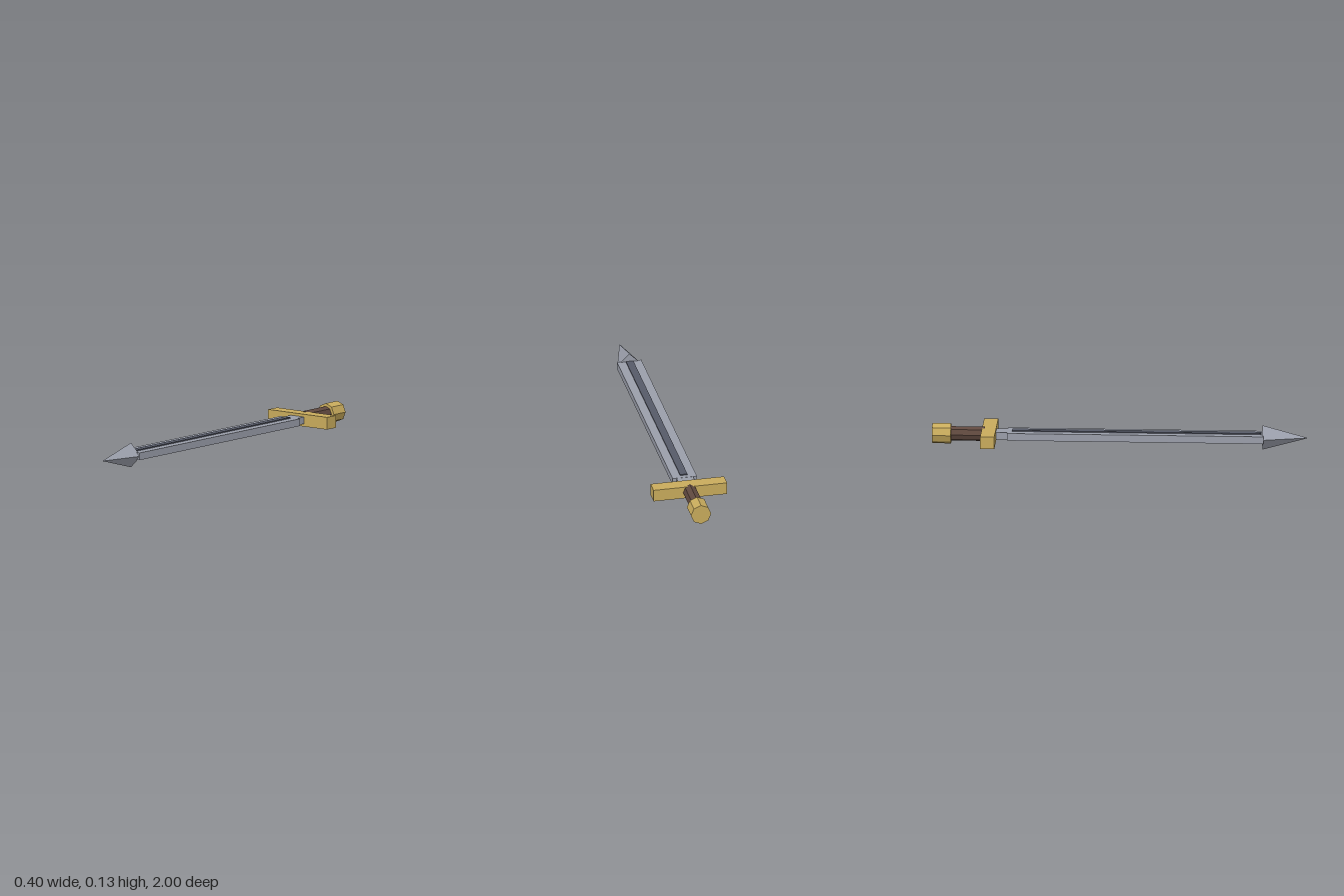
import * as THREE from 'three';

const mat = (color) => new THREE.MeshStandardMaterial({ color, flatShading: true });

export function createModel() {
  const sword = new THREE.Group();
  sword.name = 'sword';
  const steel = mat(0x9a9eaa), darkSteel = mat(0x565a68), gold = mat(0xc8ab5c), leather = mat(0x5f483e);
  const midY = 0.066;

  const add = (name, geometry, material, z) => {
    const mesh = new THREE.Mesh(geometry, material);
    mesh.name = name;
    mesh.position.set(0, midY, z);
    sword.add(mesh);
    return mesh;
  };
  // Box spanning z0..z1, centred on the sword's axis
  const bar = (name, w, h, z0, z1, material) =>
    add(name, new THREE.BoxGeometry(w, h, z1 - z0), material, (z0 + z1) / 2);
  // Faceted rod along z, with a corner pointing up
  const rod = (name, rFront, rBack, sides, z0, z1, material) =>
    add(name, new THREE.CylinderGeometry(rFront, rBack, z1 - z0, sides).rotateX(Math.PI / 2), material, (z0 + z1) / 2);

  // Blade with a raised dark strip on both faces
  bar('blade', 0.132, 0.039, -0.6, 0.765, steel);
  for (const side of [1, -1]) {
    const strip = bar('bladeStrip', 0.04, 0.012, -0.575, 0.75, darkSteel);
    strip.position.y += side * 0.0195;
  }
  bar('bladeCollar', 0.09, 0.037, -0.67, -0.59, steel);
  rod('bladeTip', 0, 0.066, 4, 0.757, 1, steel);

  // Hilt
  bar('crossGuard', 0.4, 0.066, -0.735, -0.66, gold);
  rod('grip', 0.039, 0.039, 8, -0.905, -0.72, leather);
  rod('pommel', 0.055, 0.055, 8, -1, -0.9, gold);

  return sword;
}
